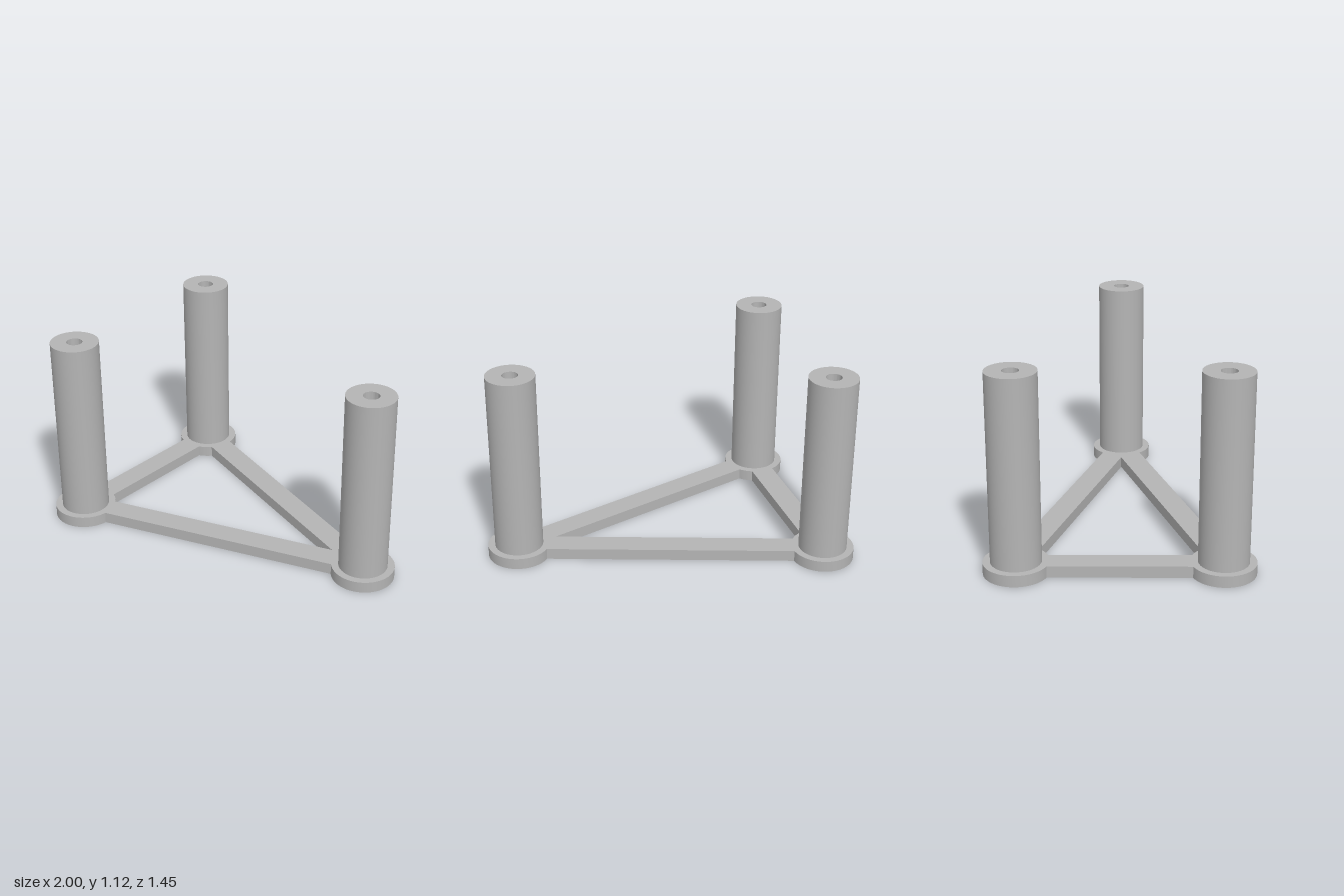
import * as THREE from 'three';
import { toCreasedNormals } from 'three/addons/utils/BufferGeometryUtils.js';

const BASE_H = 0.065, TOP = 1.12;
const PAD_R = 0.177, POST_R = 0.137, HOLE_R = 0.045, HOLE_DEPTH = 0.5;
const BAR_HALF = 0.0675;

// Post centres, counter-clockwise
const nodes = [[0.823, 0], [-0.823, 0.547], [-0.823, -0.547]]
  .map(([x, y]) => new THREE.Vector2(x, y));

const polar = (c, r, a) => new THREE.Vector2(c.x + r * Math.cos(a), c.y + r * Math.sin(a));

function arc(c, from, to, steps) {
  return Array.from({ length: steps + 1 }, (_, i) => polar(c, PAD_R, from + (to - from) * i / steps));
}

// Triangular frame: round pads joined by straight bars, open in the middle
function frameGeometry() {
  const outer = [], inner = [];
  const half = Math.asin(BAR_HALF / PAD_R); // half angle a bar covers on a pad
  nodes.forEach((c, i) => {
    const next = nodes[(i + 1) % 3].clone().sub(c).angle();
    let prev = nodes[(i + 2) % 3].clone().sub(c).angle();
    if (prev < next) prev += 2 * Math.PI;
    outer.push(...arc(c, prev + half, next - half + 2 * Math.PI, 48));
    const gap = prev - next;
    // Bars either leave a bit of pad showing between them or meet in a point
    if (gap > 2 * half) inner.push(...arc(c, prev - half, next + half, 8));
    else inner.push(polar(c, BAR_HALF / Math.sin(gap / 2), (next + prev) / 2));
  });
  const shape = new THREE.Shape(outer);
  shape.holes.push(new THREE.Path(inner));
  const geo = new THREE.ExtrudeGeometry(shape, { depth: BASE_H, bevelEnabled: false });
  geo.rotateX(-Math.PI / 2);
  return toCreasedNormals(geo, 0.4);
}

// Round post with a blind hole in its top
function postGeometry() {
  const profile = [
    [POST_R, BASE_H], [POST_R, TOP], [HOLE_R, TOP],
    [HOLE_R, TOP - HOLE_DEPTH], [0, TOP - HOLE_DEPTH],
  ].map(([r, y]) => new THREE.Vector2(r, y));
  return toCreasedNormals(new THREE.LatheGeometry(profile, 64), 0.4);
}

export function createModel() {
  const group = new THREE.Group();
  group.name = 'triangularPostStand';
  const grey = new THREE.MeshStandardMaterial({ color: 0xb4b4b4 });
  grey.name = 'grey';

  const frame = new THREE.Mesh(frameGeometry(), grey);
  frame.name = 'baseFrame';
  group.add(frame);

  const geo = postGeometry();
  const names = ['leftPost', 'rightBackPost', 'rightFrontPost'];
  nodes.forEach((c, i) => {
    const post = new THREE.Mesh(geo, grey);
    post.name = names[i];
    post.position.set(c.x, 0, -c.y);
    group.add(post);
  });
  return group;
}
